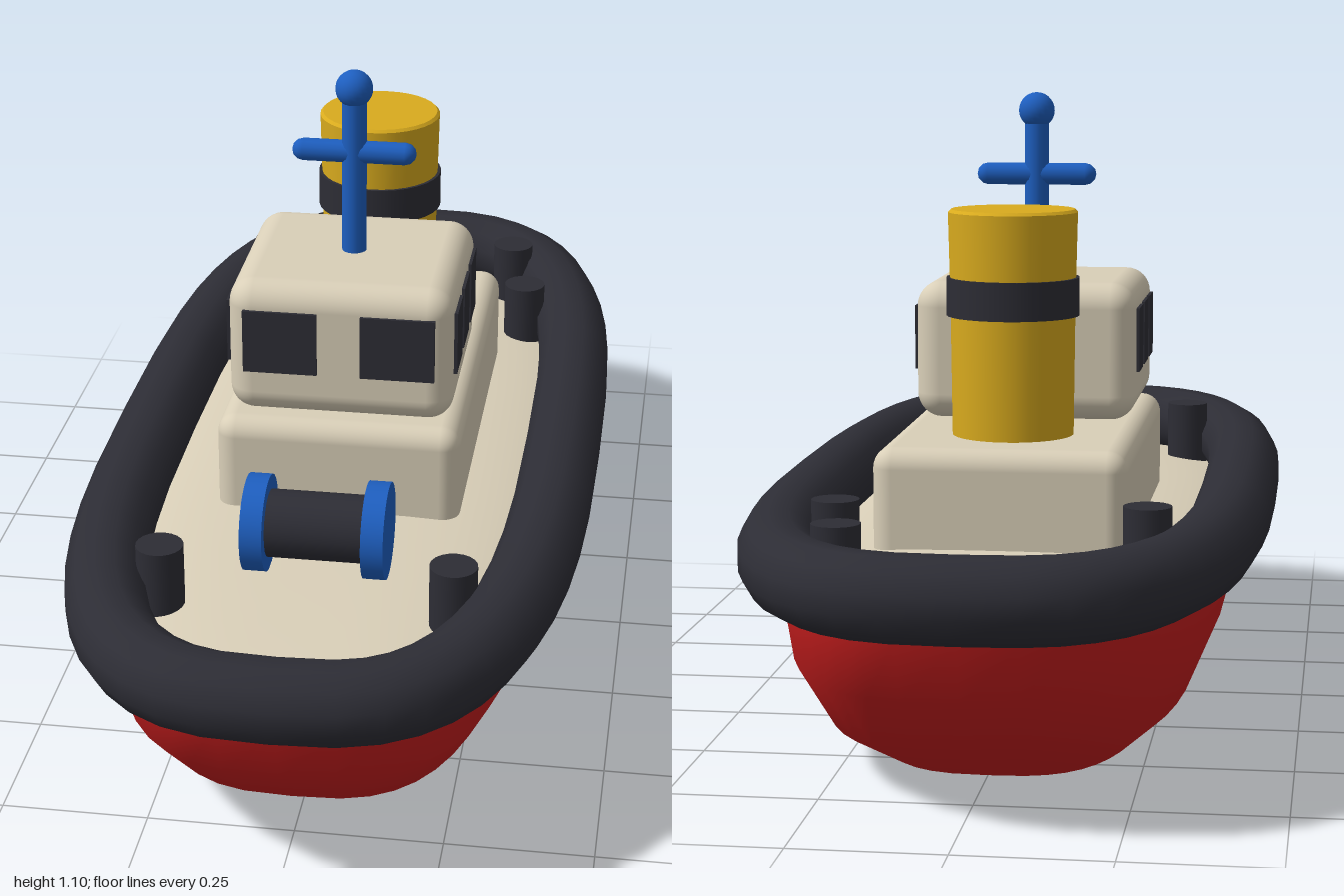
import * as THREE from 'three';
import { RoundedBoxGeometry } from 'three/addons/geometries/RoundedBoxGeometry.js';

const HALF_W = 0.38, HALF_L = 0.933, POWER = 3, STEPS = 48;

const paint = (name, color) => {
  const m = new THREE.MeshStandardMaterial({ color });
  m.name = name;
  return m;
};

// Point on the boat's plan outline, with its outward normal
function outline(j) {
  const t = (j / STEPS) * Math.PI * 2;
  const bend = (v) => Math.sign(v) * Math.pow(Math.abs(v), 2 / POWER);
  const u = bend(Math.cos(t)), w = bend(Math.sin(t));
  const slope = (v, size) => Math.sign(v) * Math.pow(Math.abs(v), POWER - 1) / size;
  const n = new THREE.Vector2(slope(u, HALF_W), slope(w, HALF_L)).normalize();
  return { x: u * HALF_W, z: w * HALF_L, nx: n.x, nz: n.y };
}

// Surface through rings that follow the outline; each ring is { s: scale, y, out: offset }
function loft(rings, closed = false) {
  const pos = [], index = [];
  for (const { s, y, out = 0 } of rings) {
    for (let j = 0; j < STEPS; j++) {
      const p = outline(j);
      pos.push(p.x * s + p.nx * out, y, p.z * s + p.nz * out);
    }
  }
  const spans = closed ? rings.length : rings.length - 1;
  for (let i = 0; i < spans; i++) {
    const k = (i + 1) % rings.length;
    for (let j = 0; j < STEPS; j++) {
      const m = (j + 1) % STEPS;
      const a = i * STEPS + j, b = i * STEPS + m, c = k * STEPS + j, d = k * STEPS + m;
      index.push(a, c, b, b, c, d);
    }
  }
  const g = new THREE.BufferGeometry();
  g.setAttribute('position', new THREE.Float32BufferAttribute(pos, 3));
  g.setIndex(index);
  g.computeVertexNormals();
  return g;
}

export function createModel() {
  const red = paint('hull red', 0xc81e1e);
  const dark = paint('rubber black', 0x2d2d35);
  const cream = paint('cream', 0xd9cfb8);
  const yellow = paint('funnel yellow', 0xd9ab1e);
  const blue = paint('fitting blue', 0x1e5fc0);

  const model = new THREE.Group();
  model.name = 'tugboat';
  const add = (name, geometry, material, x = 0, y = 0, z = 0, parent = model) => {
    const mesh = new THREE.Mesh(geometry, material);
    mesh.name = name;
    mesh.position.set(x, y, z);
    parent.add(mesh);
    return mesh;
  };
  const group = (name, x = 0, y = 0, z = 0) => {
    const g = new THREE.Group();
    g.name = name;
    g.position.set(x, y, z);
    model.add(g);
    return g;
  };

  // Hull sides and flat bottom
  add('hull', loft([
    { s: 0.625, y: 0 }, { s: 0.825, y: 0.083 }, { s: 0.953, y: 0.2 },
    { s: 0.987, y: 0.3 }, { s: 1, y: 0.37 },
  ]), red);
  add('hullBottom', loft([{ s: 0.001, y: 0 }, { s: 0.625, y: 0 }]), red);

  // Gently domed deck
  const deckRings = [0.99, 0.92, 0.84, 0.74, 0.6, 0.4, 0.2, 0.001]
    .map((s) => ({ s, y: 0.355 - 0.04 * s ** 4 }));
  add('deck', loft(deckRings), cream);

  // Twelve-sided rubber fender around the rim
  const fenderRings = [];
  for (let i = 0; i < 12; i++) {
    const a = ((i + 0.5) / 12) * Math.PI * 2;
    fenderRings.push({ s: 1, y: 0.372 + 0.069 * Math.sin(a), out: 0.069 * Math.cos(a) });
  }
  add('fender', loft(fenderRings, true), dark);

  // Deckhouse and wheelhouse
  add('deckhouse', new RoundedBoxGeometry(0.432, 0.21, 0.75, 4, 0.035), cream, 0, 0.415, -0.09);
  const cabin = group('wheelhouse', 0, 0.643, 0.065);
  add('cabin', new RoundedBoxGeometry(0.396, 0.247, 0.38, 5, 0.045), cream, 0, 0, 0, cabin);
  for (const side of [1, -1]) {
    add('frontWindow', new THREE.BoxGeometry(0.13, 0.115, 0.009), dark, side * 0.103, 0.02, 0.191, cabin);
    for (const z of [0.112, 0.004, -0.106]) {
      add('sideWindow', new THREE.BoxGeometry(0.009, 0.115, 0.08), dark, side * 0.199, 0.02, z, cabin);
    }
  }

  // Funnel with a dark band
  const funnel = group('funnel', 0, 0, -0.265);
  const lower = new THREE.CylinderGeometry(0.108, 0.105, 0.24, 32);
  add('funnelLower', lower, yellow, 0, 0.62, 0, funnel);
  add('funnelUpper', new THREE.CylinderGeometry(0.112, 0.109, 0.12, 32), yellow, 0, 0.845, 0, funnel);
  add('funnelCap', new THREE.CylinderGeometry(0.107, 0.112, 0.005, 32), yellow, 0, 0.9075, 0, funnel);
  add('funnelBand', new THREE.CylinderGeometry(0.115, 0.115, 0.066, 32), dark, 0, 0.76, 0, funnel);

  // Mast with crossbar and ball
  const mast = group('mast', 0, 0, 0.065);
  add('mastPole', new THREE.CylinderGeometry(0.022, 0.022, 0.31, 16), blue, 0, 0.91, 0, mast);
  add('mastBall', new THREE.SphereGeometry(0.033, 20, 14), blue, 0, 1.067, 0, mast);
  const bar = add('crossbar', new THREE.CapsuleGeometry(0.02, 0.18, 3, 12), blue, 0, 0.951, 0, mast);
  bar.rotation.z = Math.PI / 2;

  // Winch on the foredeck
  const winch = group('winch', 0, 0.433, 0.483);
  const drum = add('winchDrum', new THREE.CylinderGeometry(0.058, 0.058, 0.18, 24), dark, 0, 0, 0, winch);
  drum.rotation.z = Math.PI / 2;
  for (const side of [1, -1]) {
    const flange = new THREE.CylinderGeometry(0.083, 0.083, 0.038, 28);
    add('winchFlange', flange, blue, side * 0.102, 0, 0, winch).rotation.z = Math.PI / 2;
  }

  // Mooring bollards
  const spots = [[0.245, 0.613], [-0.245, 0.613], [0.258, -0.548], [-0.258, -0.548], [0.216, -0.753]];
  for (const [x, z] of spots) {
    add('bollard', new THREE.CylinderGeometry(0.04, 0.04, 0.14, 20), dark, x, 0.38, z);
  }

  return model;
}
